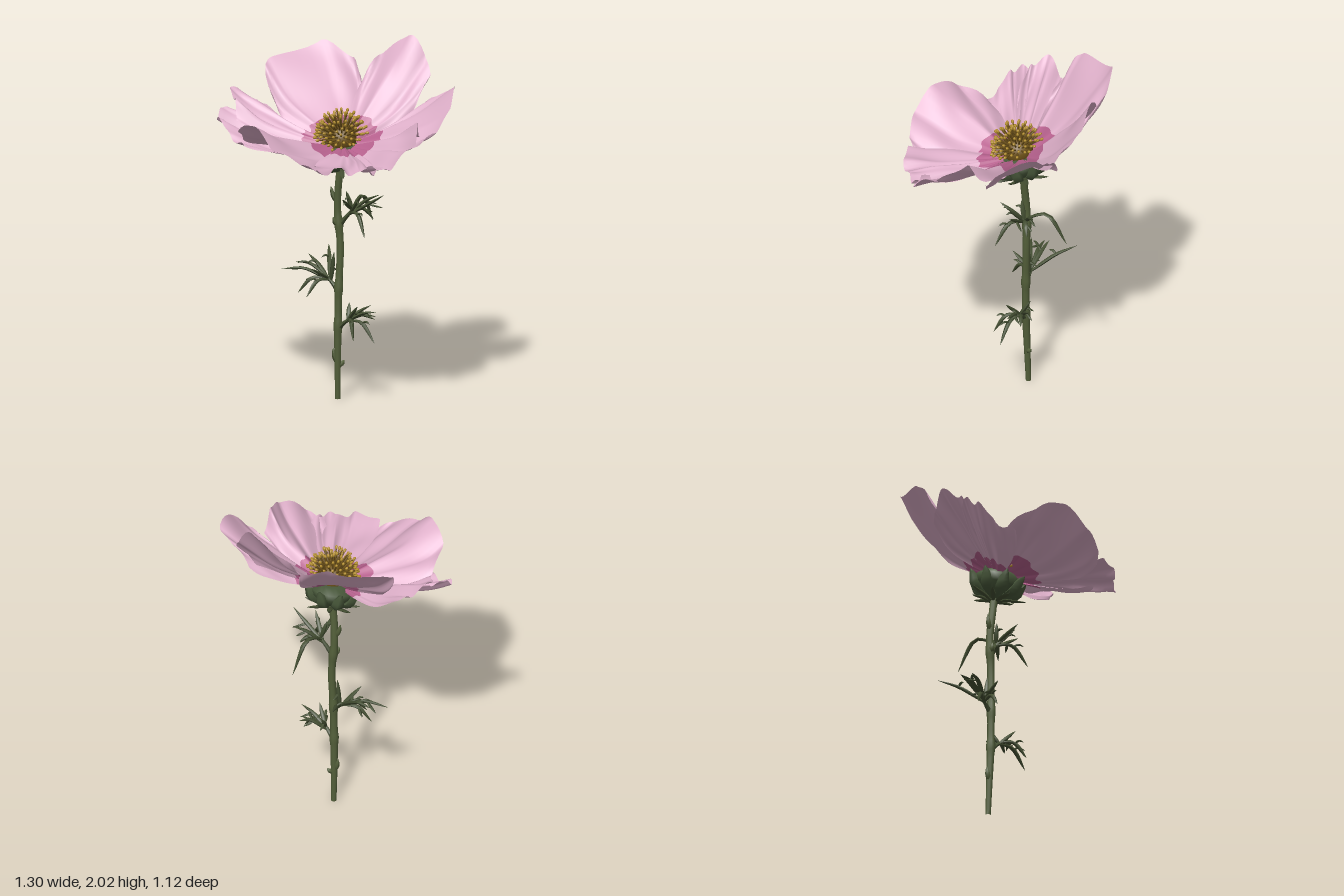
import * as THREE from 'three';
import { mergeGeometries } from 'three/addons/utils/BufferGeometryUtils.js';

const V = (p) => new THREE.Vector3(...p);
const mat = (name, color, side = THREE.FrontSide) => {
  const m = new THREE.MeshStandardMaterial({ color, side });
  m.name = name;
  return m;
};

// Tapered tube along points; flat < 1 squashes its section vertically
function taper(points, radius, { flat = 1, sides = 5, steps = 8 } = {}) {
  const curve = new THREE.CatmullRomCurve3(points.map(V));
  const geo = new THREE.TubeGeometry(curve, steps, 1, sides);
  const pos = geo.attributes.position, d = new THREE.Vector3();
  for (let k = 0; k < pos.count; k++) {
    const t = Math.floor(k / (sides + 1)) / steps;
    const p = curve.getPointAt(t);
    d.fromBufferAttribute(pos, k).sub(p).multiplyScalar(radius(t));
    d.y *= flat;
    pos.setXYZ(k, p.x + d.x, p.y + d.y, p.z + d.z);
  }
  geo.computeVertexNormals();
  return geo;
}
const bladeRadius = (w) => (t) => w * Math.pow(Math.sin(Math.PI * (0.12 + 0.88 * t)), 0.8) + 0.0008;

// Petal: a fan from the heart C to a ragged rim, with a dark inner patch
const C = V([0.02, 1.475, -0.085]);
function petalGeometry(rimPoints, sag, seed) {
  const rim = new THREE.CatmullRomCurve3(rimPoints.map(V), false, 'catmullrom', 0.2);
  const axis = rim.getPoint(0.5).sub(C).normalize();
  const inner = 6, outer = 16, cols = 28, rows = inner + outer;
  const pos = [], idx = [];
  for (let i = 0; i <= rows; i++) {
    for (let j = 0; j <= cols; j++) {
      const v = j / cols;
      const ray = rim.getPoint(v).sub(C);
      const scallop = 0.19 + 0.055 * Math.sqrt(Math.sin(Math.PI * v) + 1e-6) + 0.01 * Math.sin(v * 26 + seed);
      const split = Math.min(0.6, scallop / ray.length());
      const u = i <= inner ? 0.06 + (split - 0.06) * i / inner : split + (1 - split) * (i - inner) / outer;
      // Widen the middle, cup it, and pleat it lengthwise
      const along = axis.clone().multiplyScalar(ray.dot(axis));
      const across = ray.clone().sub(along).multiplyScalar(1 + 0.28 * Math.sin(Math.PI * u));
      const p = along.add(across).multiplyScalar(u).add(C);
      p.y += -sag * 4 * u * (1 - u)
        + u * (0.014 * Math.sin(v * 17 + seed * 2) + 0.009 * Math.sin(v * 31 + u * 5 + seed))
        + 0.012 * u * u * Math.sin(u * 11 + v * 8 + seed);
      pos.push(p.x, p.y, p.z);
      if (i < rows && j < cols) {
        const a = i * (cols + 1) + j, b = a + cols + 1;
        idx.push(a, b, a + 1, b, b + 1, a + 1);
      }
    }
  }
  const geo = new THREE.BufferGeometry();
  geo.setAttribute('position', new THREE.Float32BufferAttribute(pos, 3));
  geo.setIndex(idx);
  geo.addGroup(0, inner * cols * 6, 0);
  geo.addGroup(inner * cols * 6, outer * cols * 6, 1);
  geo.computeVertexNormals();
  return geo;
}

export function createModel() {
  const model = new THREE.Group();
  model.name = 'flower';
  const pink = mat('petal pink', 0xe0b1cb, THREE.DoubleSide);
  const magenta = mat('petal heart magenta', 0xb8628f, THREE.DoubleSide);
  const gold = mat('stamen gold', 0xb8922f);
  const brown = mat('disc brown', 0x6e5219);
  const stemGreen = mat('stem green', 0x535f3a);
  const leafGreen = mat('leaf green', 0x444f32);
  const calyxGreen = mat('calyx green', 0x48583a);
  const add = (parent, name, geo, material) => {
    const m = new THREE.Mesh(geo, material);
    m.name = name;
    parent.add(m);
    return m;
  };

  // Petals: rim points and cupping
  const petals = [
    ['backLeftPetal', 0.05, [[0.02, 1.80, -0.46], [0.1, 1.91, -0.54], [0.25, 2.0, -0.55], [0.36, 1.92, -0.52], [0.41, 1.82, -0.46], [0.36, 1.68, -0.36]]],
    ['backRightPetal', 0.05, [[-0.41, 1.66, -0.18], [-0.5, 1.78, -0.27], [-0.5, 1.88, -0.34], [-0.27, 1.94, -0.55], [-0.08, 1.87, -0.55], [-0.01, 1.75, -0.48]]],
    ['rightPetal', 0.04, [[-0.48, 1.6, -0.24], [-0.56, 1.68, -0.19], [-0.65, 1.75, -0.1], [-0.59, 1.68, -0.02], [-0.56, 1.6, 0.04]]],
    ['rightFrontPetal', 0.05, [[-0.58, 1.66, -0.02], [-0.65, 1.66, 0.04], [-0.65, 1.6, 0.11], [-0.55, 1.54, 0.17], [-0.44, 1.5, 0.25]]],
    ['frontRightPetal', 0.04, [[-0.46, 1.53, 0.21], [-0.43, 1.63, 0.38], [-0.3, 1.66, 0.48], [-0.16, 1.59, 0.56], [0.0, 1.5, 0.55], [0.08, 1.47, 0.5]]],
    ['frontPetal', 0.01, [[0.08, 1.49, 0.54], [0.25, 1.46, 0.53], [0.33, 1.48, 0.48], [0.4, 1.46, 0.45], [0.42, 1.45, 0.36]]],
    ['frontLeftPetal', 0.04, [[0.37, 1.46, 0.4], [0.49, 1.5, 0.42], [0.58, 1.6, 0.27], [0.53, 1.65, 0.1], [0.51, 1.58, 0.0]]],
    ['leftPetal', 0.05, [[0.5, 1.55, 0.0], [0.6, 1.6, -0.02], [0.65, 1.73, -0.12], [0.6, 1.78, -0.33], [0.5, 1.75, -0.36], [0.38, 1.64, -0.38]]],
  ];
  petals.forEach(([name, sag, rim], k) => add(model, name, petalGeometry(rim, sag, k * 1.7), [magenta, pink]));

  // Heart: domed disc bristling with stamens, leaning forward
  const heart = new THREE.Group();
  heart.name = 'heart';
  heart.position.set(0.02, 1.51, -0.075);
  heart.rotation.x = 0.35;
  model.add(heart);
  add(heart, 'disc', new THREE.SphereGeometry(0.085, 20, 12).scale(1, 0.95, 1), brown);
  const filaments = [], anthers = [], count = 110;
  for (let k = 0; k < count; k++) {
    const y = 1 - 0.9 * (k + 0.5) / count, r = Math.sqrt(1 - y * y), a = k * 2.39996;
    const dir = V([r * Math.cos(a), y, r * Math.sin(a)]);
    const q = new THREE.Quaternion().setFromUnitVectors(V([0, 1, 0]), dir);
    const len = 0.118 + 0.03 * Math.abs(Math.sin(k * 4.7)) + 0.015 * y;
    const place = (g, d) => g.applyQuaternion(q).translate(dir.x * d, dir.y * d, dir.z * d);
    filaments.push(place(new THREE.CylinderGeometry(0.004, 0.006, 0.07, 5), len - 0.04));
    anthers.push(place(new THREE.SphereGeometry(0.0085, 6, 5).scale(1, 1.5, 1), len));
  }
  add(heart, 'filaments', mergeGeometries(filaments), brown);
  add(heart, 'anthers', mergeGeometries(anthers), gold);

  // Calyx: cup, upright sepals and a ruff of spreading bracts
  const calyx = new THREE.Group();
  calyx.name = 'calyx';
  calyx.position.set(0.008, 1.35, -0.1);
  calyx.rotation.x = 0.2;
  model.add(calyx);
  const profile = [[0.001, -0.03], [0.03, -0.01], [0.085, 0.02], [0.122, 0.06], [0.135, 0.1], [0.1, 0.135], [0.001, 0.14]];
  add(calyx, 'cup', new THREE.LatheGeometry(profile.map((p) => new THREE.Vector2(...p)), 20), calyxGreen);
  const sepals = [], bracts = [];
  for (let k = 0; k < 8; k++) {
    const a = k * Math.PI / 4;
    sepals.push(taper([[0.05, 0, 0], [0.11, 0.035, 0], [0.135, 0.08, 0], [0.168, 0.125, 0]], bladeRadius(0.035), { flat: 0.8 }).rotateY(a));
    const reach = 0.155 + 0.03 * Math.sin(k * 2.3), dip = 0.02 * Math.sin(k * 3.1);
    bracts.push(taper([[0.015, -0.03, 0], [0.07, -0.012, 0], [0.12, -0.005 + dip, 0], [reach, 0.005 + dip * 2, 0]], bladeRadius(0.015), { flat: 0.5 }).rotateY(a + 0.4));
  }
  add(calyx, 'sepals', mergeGeometries(sepals), calyxGreen);
  add(calyx, 'bracts', mergeGeometries(bracts), leafGreen);

  // Stem, swelling slightly at the nodes
  const stemPoints = [[-0.02, 0, -0.125], [-0.018, 0.22, -0.118], [-0.014, 0.42, -0.112], [-0.01, 0.64, -0.112],
    [-0.002, 0.88, -0.117], [-0.018, 1.1, -0.115], [-0.008, 1.24, -0.105], [0.008, 1.36, -0.1]];
  const bump = (t, c) => 0.006 * Math.exp(-(((t - c) / 0.025) ** 2));
  add(model, 'stem', taper(stemPoints, (t) => 0.015 + 0.006 * Math.min(1, t * 4) + bump(t, 0.31) + bump(t, 0.47) + bump(t, 0.74),
    { sides: 10, steps: 48 }), stemGreen);

  // Small scales on the stem: base and tip
  const scales = [[[-0.02, 0.2, -0.118], [-0.045, 0.29, -0.12]], [[-0.015, 0.19, -0.118], [0.012, 0.22, -0.145]],
    [[-0.015, 1.12, -0.113], [-0.055, 1.22, -0.11]], [[-0.01, 0.99, -0.115], [-0.035, 1.05, -0.09]]];
  add(model, 'stemScales', mergeGeometries(scales.map(([a, b]) =>
    taper([a, [(a[0] + b[0] * 2) / 3, (a[1] + b[1]) / 2, (a[2] + b[2] * 2) / 3], b], bladeRadius(0.014)))), stemGreen);

  // Feathery leaves: node, fork, and leaflet tips with the height of their arch
  const leaves = [
    ['upperLeaf', [-0.01, 0.99, -0.115], [0.07, 1.09, -0.12], [
      [0.27, 1.2, -0.08, 0.0], [0.19, 0.97, 0.02, 0.07], [0.1, 0.98, -0.37, 0.12], [0.06, 1.18, 0.02, 0],
      [0.2, 1.17, -0.2, 0.02], [0.15, 1.2, -0.04, 0], [0.18, 1.04, -0.16, 0.04], [0.04, 1.2, -0.1, 0]]],
    ['middleLeaf', [-0.012, 0.62, -0.112], [-0.08, 0.69, -0.13], [
      [-0.34, 0.73, -0.07, 0.04], [-0.16, 0.82, -0.37, 0.02], [-0.24, 0.6, -0.08, 0.05], [-0.22, 0.8, -0.2, 0.01],
      [-0.04, 0.84, -0.12, -0.01], [-0.16, 0.6, 0.0, 0.05], [-0.13, 0.76, -0.01, 0], [-0.28, 0.76, -0.16, 0.03]]],
    ['lowerLeaf', [-0.015, 0.4, -0.112], [0.06, 0.47, -0.09], [
      [0.23, 0.53, -0.06, 0.02], [0.235, 0.36, -0.02, 0.06], [0.13, 0.56, -0.03, 0], [0.13, 0.38, 0.04, 0.05],
      [0.16, 0.54, -0.17, 0.01], [0.2, 0.47, -0.13, 0.03], [0.04, 0.55, -0.15, 0]]],
  ];
  for (const [name, node, fork, tips] of leaves) {
    const mix = (a, b, t, lift) => [0, 1, 2].map((i) => a[i] + (b[i] - a[i]) * t + (i === 1 ? lift : 0));
    const parts = [taper([node, mix(node, fork, 0.5, 0.005), fork], (t) => 0.016 - 0.007 * t)];
    tips.forEach(([x, y, z, arch], k) => {
      const tip = [x, y, z], start = mix(node, fork, 0.7 + 0.1 * (k % 4), 0);
      const mid = mix(start, tip, 0.55, arch);
      parts.push(taper([start, mix(start, tip, 0.25, arch * 0.6), mid, tip], bladeRadius(0.013), { flat: 0.6 }));
      // Side barb on each leaflet
      const s = k % 2 ? 1 : -1;
      parts.push(taper([mid, [mid[0] + (x - mid[0]) * 0.4, mid[1] + 0.015 * s, mid[2] + 0.025 * s],
        [mid[0] + (x - mid[0]) * 0.7, mid[1] + 0.015 * s - 0.01, mid[2] + 0.045 * s]], bladeRadius(0.008), { flat: 0.6, steps: 5 }));
    });
    add(model, name, mergeGeometries(parts), leafGreen);
  }
  return model;
}
